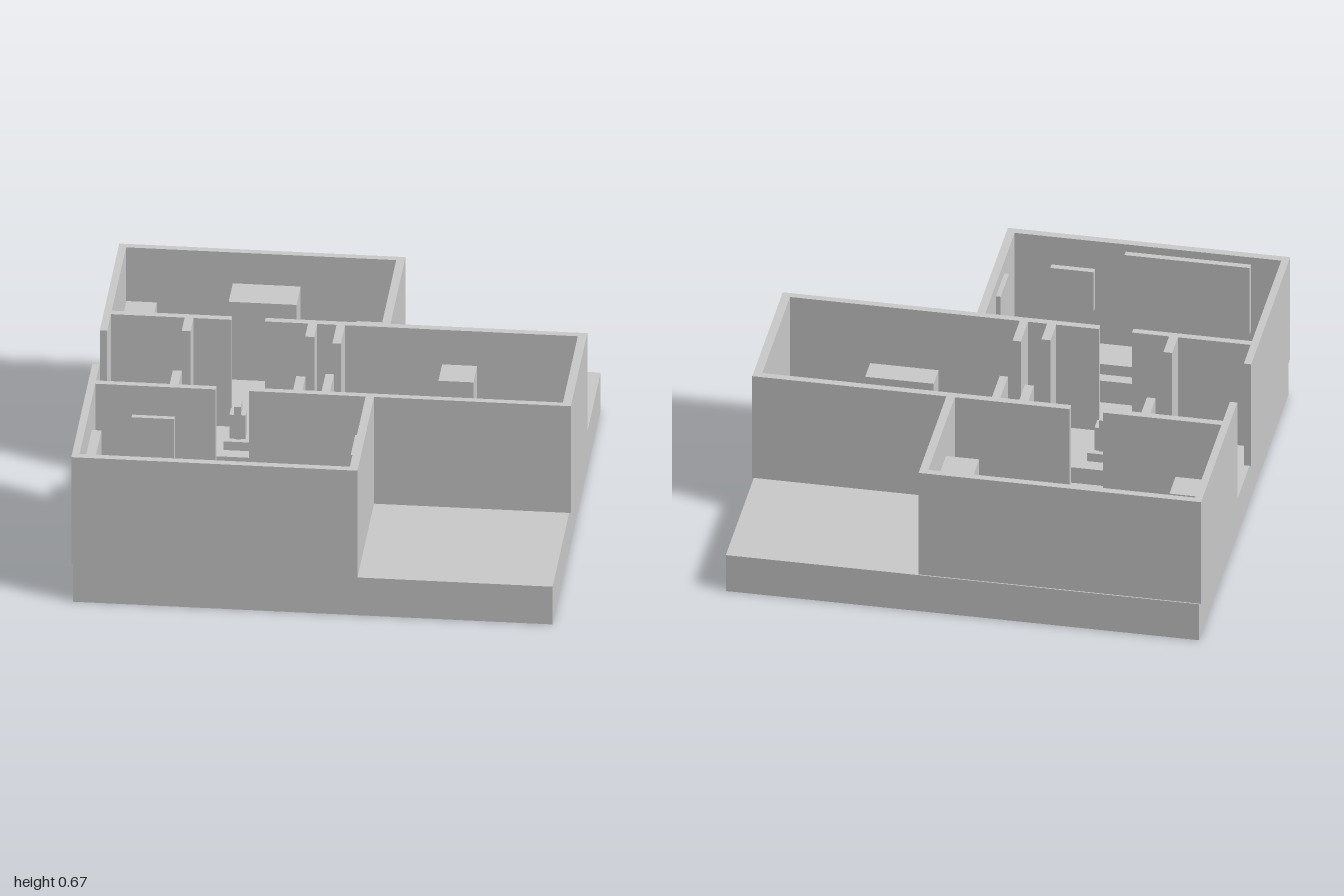
import * as THREE from 'three';

const FLOOR = 0.175, TOP = 0.67;

export function createModel() {
  const group = new THREE.Group();
  const material = new THREE.MeshStandardMaterial({ color: 0xcccccc, flatShading: true });

  // Box given by its extents on each axis
  const box = (name, x0, x1, z0, z1, y0, y1) => {
    const mesh = new THREE.Mesh(new THREE.BoxGeometry(x1 - x0, y1 - y0, z1 - z0), material);
    mesh.position.set((x0 + x1) / 2, (y0 + y1) / 2, (z0 + z1) / 2);
    mesh.name = name;
    group.add(mesh);
  };

  // Walls: one outline of the whole plan, cut open at the entrance and doorways
  const extrudePlan = (name, points) => {
    const shape = new THREE.Shape(points.map(([x, z]) => new THREE.Vector2(x, -z)));
    const geometry = new THREE.ExtrudeGeometry(shape, { depth: TOP - FLOOR, bevelEnabled: false });
    geometry.rotateX(-Math.PI / 2).translate(0, FLOOR, 0);
    const mesh = new THREE.Mesh(geometry, material);
    mesh.name = name;
    group.add(mesh);
  };

  // Ground slab
  box('baseSlab', -0.993, 0.993, -0.965, 0.965, 0, FLOOR);

  // Continuous outer walls with the long partition walls east of the doorways
  extrudePlan('roomWalls', [
    [-1, -0.177], [-1, -0.96], [0.185, -0.96], [0.185, -0.359], [1, -0.359], [1, 0.30],
    [0.185, 0.30], [0.185, 0.965], [-1, 0.965], [-1, 0.123], [-0.969, 0.123],
    [-0.969, 0.27], [-0.471, 0.27], [-0.471, 0.30], [-0.969, 0.30], [-0.969, 0.932],
    [0.15, 0.932], [0.15, 0.30], [-0.332, 0.30], [-0.332, 0.27], [0.964, 0.27],
    [0.964, -0.327], [-0.332, -0.327], [-0.332, -0.359], [0.15, -0.359], [0.15, -0.929],
    [-0.969, -0.929], [-0.969, -0.359], [-0.471, -0.359], [-0.471, -0.327],
    [-0.969, -0.327], [-0.969, -0.177],
  ]);

  // Paired wall stubs that narrow the hall
  for (const [x0, x1, zBack, zFront] of [
    [-0.664, -0.627, -0.209, 0.147],
    [-0.153, -0.115, -0.209, 0.147],
    [-0.035, 0, -0.161, 0.115],
  ]) {
    box('hallStubBack', x0, x1, -0.327, zBack, FLOOR, TOP);
    box('hallStubFront', x0, x1, zFront, 0.27, FLOOR, TOP);
  }

  // Stepped pedestal with a small figure in the hall
  box('pedestalBase', -0.522, -0.289, -0.145, 0.088, FLOOR, 0.25);
  box('pedestalStep', -0.466, -0.351, -0.086, 0.029, 0.25, 0.29);
  box('figureBody', -0.445, -0.378, -0.059, 0, 0.29, 0.40);
  box('figureHead', -0.425, -0.397, -0.064, 0.005, 0.29, 0.44);

  // Back room furniture
  box('backCabinet', -0.525, -0.244, -0.913, -0.747, FLOOR, 0.535);
  box('backStand', -0.945, -0.819, -0.71, -0.578, FLOOR, 0.535);
  box('backShelf', 0.011, 0.152, -0.696, -0.546, FLOOR, 0.5);

  // Side room furniture
  box('sideStand', 0.407, 0.552, -0.279, -0.131, FLOOR, 0.535);
  box('sideStool', 0.809, 0.937, -0.091, 0.046, FLOOR, 0.4);
  box('sideBench', 0.337, 0.624, 0.145, 0.252, FLOOR, 0.4);

  // Front room table
  box('table', -0.624, -0.112, 0.487, 0.696, FLOOR, 0.28);
  box('tableTop', -0.509, -0.262, 0.536, 0.645, 0.28, 0.33);

  // Panels hung on the front room walls
  box('partitionPanel', -0.817, -0.64, 0.30, 0.324, 0.345, 0.535);
  box('rightWallPanel', -0.969, -0.929, 0.445, 0.734, 0.345, 0.53);
  box('frontWallLargePanel', -0.841, -0.316, 0.905, 0.932, 0.31, 0.635);
  box('frontWallSmallPanel', -0.187, -0.005, 0.905, 0.932, 0.345, 0.535);
  box('leftWallPanel', 0.131, 0.15, 0.53, 0.71, 0.345, 0.61);

  return group;
}
